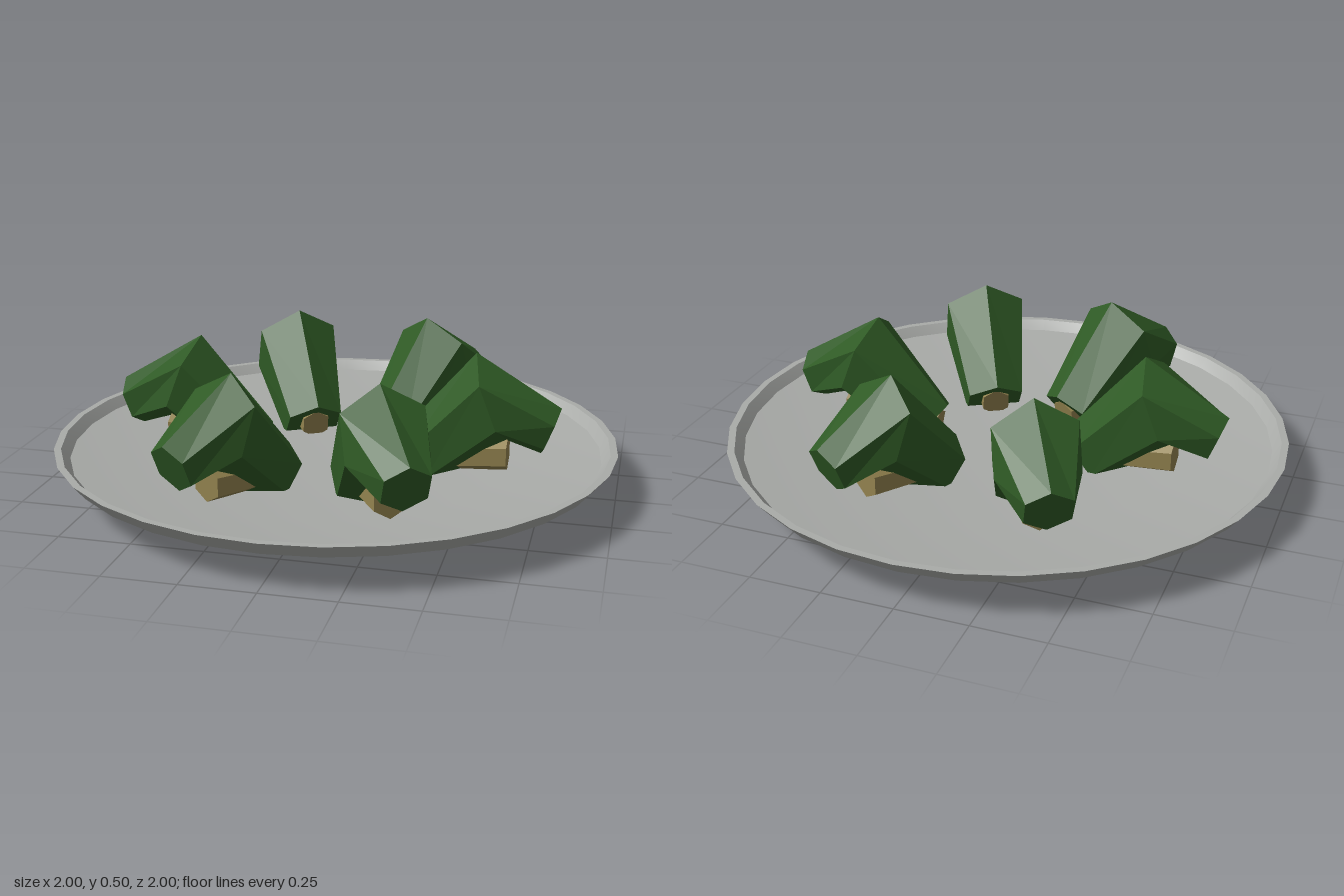
import * as THREE from 'three';
import { toCreasedNormals } from 'three/addons/utils/BufferGeometryUtils.js';

// Six-sided tube through sections [topX, topY, downX, downY, radius]
function hexLoft(sections) {
  const rings = sections.map(([x, y, dx, dy, r]) => {
    const d = new THREE.Vector3(dx, dy, 0).normalize();
    const c = new THREE.Vector3(x, y, 0).addScaledVector(d, r);
    const pts = [];
    for (let i = 0; i < 6; i++) {
      const a = (i * Math.PI) / 3;
      const p = c.clone().addScaledVector(d, -r * Math.cos(a));
      p.z = r * Math.sin(a);
      pts.push(p);
    }
    return { c, pts };
  });
  const pos = [];
  const tri = (...v) => v.forEach((p) => pos.push(p.x, p.y, p.z));
  const last = rings[rings.length - 1];
  for (let i = 0; i < 6; i++) {
    const j = (i + 1) % 6;
    for (let s = 0; s < rings.length - 1; s++) {
      const p = rings[s].pts, q = rings[s + 1].pts;
      tri(p[i], p[j], q[i]);
      tri(p[j], q[j], q[i]);
    }
    tri(rings[0].c, rings[0].pts[j], rings[0].pts[i]);
    tri(last.c, last.pts[i], last.pts[j]);
  }
  const g = new THREE.BufferGeometry();
  g.setAttribute('position', new THREE.Float32BufferAttribute(pos, 3));
  g.computeVertexNormals();
  return g;
}

function material(name, color) {
  const m = new THREE.MeshStandardMaterial({ color });
  m.name = name;
  return m;
}

export function createModel() {
  const model = new THREE.Group();
  model.name = 'plateOfRolls';
  const plateGrey = material('plateGrey', 0xa9aba8);
  const leafGreen = material('leafGreen', 0x2f5a25);
  const fillingTan = material('fillingTan', 0x93834f);
  leafGreen.flatShading = true;
  fillingTan.flatShading = true;

  // Plate: foot, flared body, rim and shallow dish, from bottom centre to top centre
  const profile = [
    [0, 0], [0.7, 0], [0.73, 0.025], [0.7, 0.032], [0.6, 0.04],
    [0.96, 0.11], [1, 0.16], [0.975, 0.16], [0.945, 0.125], [0.6, 0.075], [0, 0.07],
  ].map(([x, y]) => new THREE.Vector2(x, y));
  const plate = new THREE.Mesh(
    toCreasedNormals(new THREE.LatheGeometry(profile, 32), 0.45), plateGrey);
  plate.name = 'plate';
  model.add(plate);

  // Bent leaf wrap: inner end, elbow, outer end
  const wrapGeometry = hexLoft([
    [0.235, 0.19, 0.65, -0.76, 0.115],
    [0.5, 0.5, 0.36, -0.93, 0.167],
    [0.8, 0.32, -0.36, -0.93, 0.09],
  ]);
  // Filling that shows under the wrap and at its inner end
  const fillingGeometry = hexLoft([
    [0.26, 0.165, 0.2, -1, 0.055],
    [0.62, 0.21, 0, -1, 0.065],
  ]);

  for (let i = 0; i < 6; i++) {
    const roll = new THREE.Group();
    roll.name = 'roll' + (i + 1);
    const wrap = new THREE.Mesh(wrapGeometry, leafGreen);
    wrap.name = 'leafWrap';
    const filling = new THREE.Mesh(fillingGeometry, fillingTan);
    filling.name = 'filling';
    roll.add(wrap, filling);
    roll.rotation.y = (i * Math.PI) / 3;
    model.add(roll);
  }
  return model;
}
